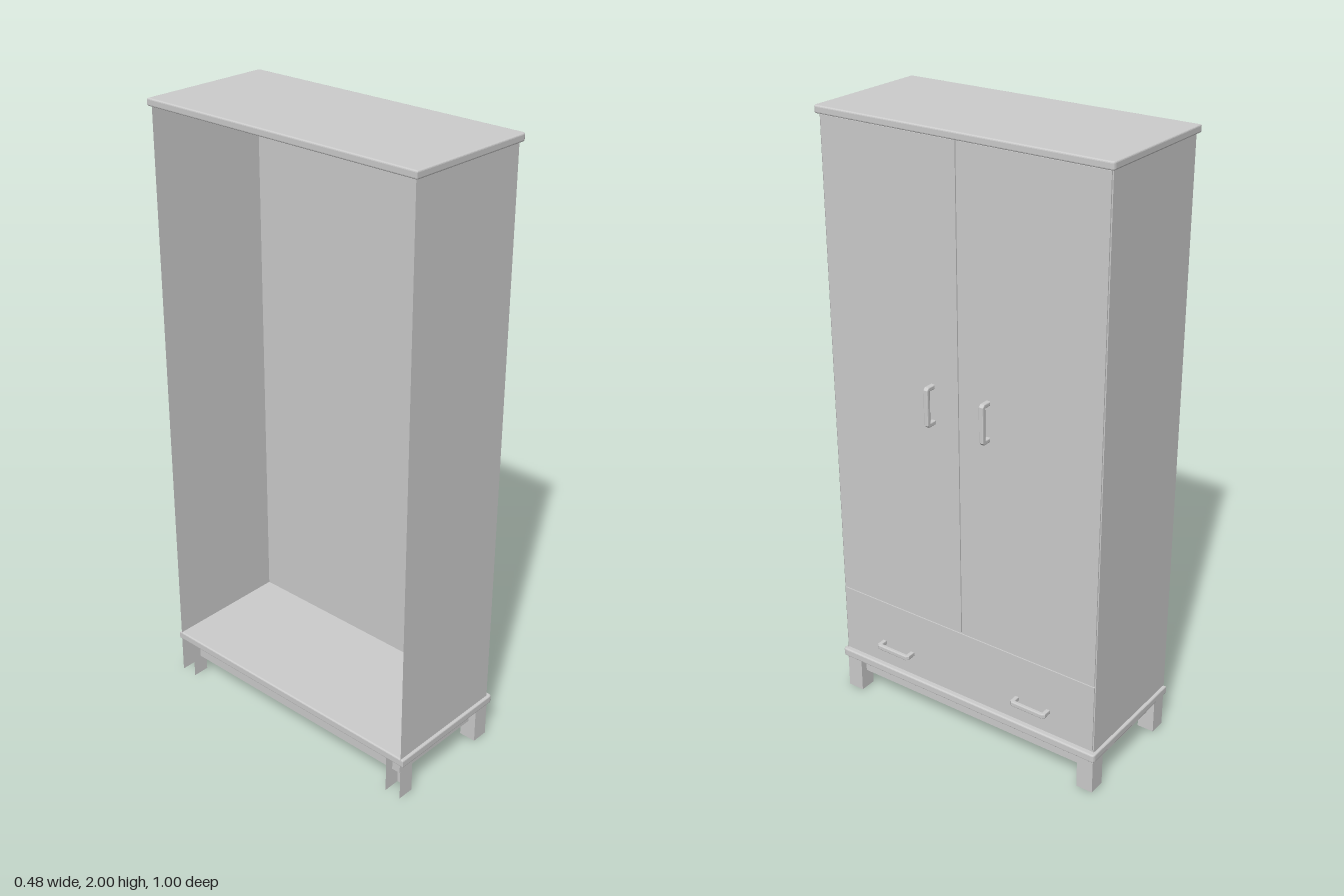
import * as THREE from 'three';

const mat = new THREE.MeshStandardMaterial({ color: 0xcccccc, side: THREE.DoubleSide });

const BACK = -0.23, FRONT = 0.2, HALF = 0.49; // carcass limits in x and z

export function createModel() {
  const root = new THREE.Group();
  root.name = 'wardrobe';

  const add = (name, geometry, x = 0, y = 0, z = 0, parent = root) => {
    const mesh = new THREE.Mesh(geometry, mat);
    mesh.name = name;
    mesh.position.set(x, y, z);
    parent.add(mesh);
    return mesh;
  };

  // Axis-aligned box given by its limits
  const box = (name, x0, x1, y0, y1, z0, z1, parent) =>
    add(name, new THREE.BoxGeometry(x1 - x0, y1 - y0, z1 - z0),
      (x0 + x1) / 2, (y0 + y1) / 2, (z0 + z1) / 2, parent);

  // Upright sheet running along a plan path of [x, z] points
  const sheet = (name, path, y0, y1, parent) => {
    const pos = [];
    for (let i = 0; i < path.length - 1; i++) {
      const [ax, az] = path[i], [bx, bz] = path[i + 1];
      pos.push(ax, y0, az, bx, y0, bz, bx, y1, bz, ax, y0, az, bx, y1, bz, ax, y1, az);
    }
    const g = new THREE.BufferGeometry();
    g.setAttribute('position', new THREE.Float32BufferAttribute(pos, 3));
    g.computeVertexNormals();
    return add(name, g, 0, 0, 0, parent);
  };

  // Slab with rounded front corners and softened edges
  const slab = (name, x0, x1, half, y0, y1) => {
    const r = 0.012, b = 0.005;
    const s = new THREE.Shape();
    s.moveTo(x0, -half);
    s.lineTo(x1 - r, -half);
    s.quadraticCurveTo(x1, -half, x1, -half + r);
    s.lineTo(x1, half - r);
    s.quadraticCurveTo(x1, half, x1 - r, half);
    s.lineTo(x0, half);
    s.closePath();
    const g = new THREE.ExtrudeGeometry(s, {
      depth: y1 - y0 - 2 * b, bevelEnabled: true, bevelThickness: b,
      bevelSize: b, bevelOffset: -b, bevelSegments: 3, curveSegments: 4,
    });
    g.rotateX(-Math.PI / 2);
    add(name, g, 0, y0 + b, 0);
  };

  slab('topBoard', -0.238, 0.213, 0.5, 1.976, 2);
  slab('baseBoard', BACK, 0.213, 0.5, 0.124, 0.152);

  // Thin side panels; the back of the carcass is open
  for (const s of [1, -1]) {
    sheet(s > 0 ? 'leftSide' : 'rightSide', [[BACK, s * HALF], [FRONT - 0.003, s * HALF]], 0.15, 1.978);
  }

  // Front: a thin sheet carrying two doors and a drawer
  sheet('frontFrame', [[FRONT - 0.005, -HALF], [FRONT - 0.005, HALF]], 0.15, 1.978);
  const panel = (name, y0, y1, z0, z1) => box(name, FRONT - 0.004, FRONT, y0, y1, z0, z1);
  panel('doorLeft', 0.398, 1.972, 0.008, HALF - 0.004);
  panel('doorRight', 0.398, 1.972, -HALF + 0.004, -0.008);
  panel('drawerFront', 0.16, 0.392, -HALF + 0.004, HALF - 0.004);

  // Bow handle: flat bar with two posts and bevelled outer corners
  const L = 0.065, D = 0.037, T = 0.014, C = 0.008, W = 0.016, bv = 0.003;
  const hs = new THREE.Shape([
    [0, -L], [D - C, -L], [D, -L + C], [D, L - C], [D - C, L], [0, L],
    [0, L - T], [D - T, L - T], [D - T, -L + T], [0, -L + T],
  ].map(([x, y]) => new THREE.Vector2(x, y)));
  const handleGeo = new THREE.ExtrudeGeometry(hs, {
    depth: W - 2 * bv, bevelEnabled: true, bevelThickness: bv,
    bevelSize: bv, bevelOffset: -bv, bevelSegments: 2,
  });
  handleGeo.translate(0, 0, -W / 2 + bv);
  for (const s of [1, -1]) {
    add('doorHandle', handleGeo, FRONT, 1.167, s * 0.1);
    add('drawerHandle', handleGeo, FRONT, 0.238, s * 0.266).rotation.x = Math.PI / 2;
  }

  // Plinth rails: open ring below the base board
  const ax0 = -0.2, ax1 = 0.175, az = 0.463;
  sheet('plinthRails', [[ax0, -az], [ax1, -az], [ax1, az], [ax0, az], [ax0, -az]], 0.066, 0.126);

  // Hollow legs; the rear pair is open at the back
  const w = 0.057;
  for (const s of [1, -1]) {
    const zo = s * HALF, zi = s * (HALF - w);
    sheet('frontLeg', [[FRONT, zo], [FRONT, zi], [FRONT - w, zi], [FRONT - w, zo], [FRONT, zo]], 0, 0.126);
    sheet('rearLeg', [[BACK, zo], [BACK + w, zo], [BACK + w, zi], [BACK, zi]], 0, 0.126);
  }

  return root;
}
